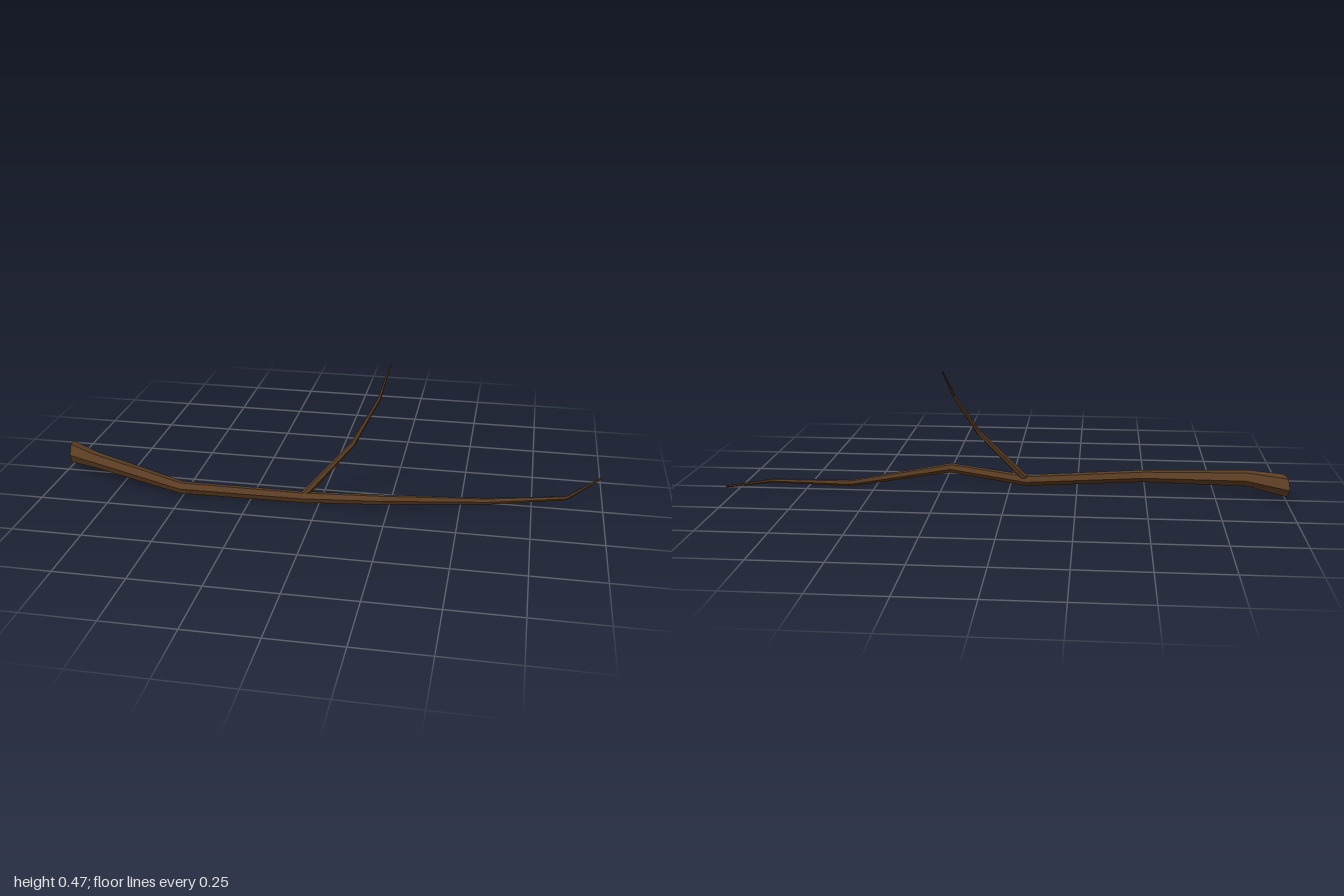
import * as THREE from 'three';

const SIDES = 6;

// Faceted limb: one hexagonal ring per [x, y, z, radius, sideStretch], tilted along the path
function limb(name, rows, material, startNormal, up) {
  const points = rows.map(([x, y, z]) => new THREE.Vector3(x, y, z));
  const rings = rows.map(([, , , r, stretch = 1], i) => {
    const dirs = [];
    if (i > 0) dirs.push(points[i].clone().sub(points[i - 1]).normalize());
    if (i < points.length - 1) dirs.push(points[i + 1].clone().sub(points[i]).normalize());
    const n = dirs.reduce((a, d) => a.add(d), new THREE.Vector3()).normalize();
    if (i === 0 && startNormal) n.copy(startNormal).normalize();
    const side = new THREE.Vector3().crossVectors(n, up).normalize();
    const top = new THREE.Vector3().crossVectors(side, n);
    return Array.from({ length: SIDES }, (_, k) => {
      const a = (k / SIDES) * Math.PI * 2 + 0.12;
      return points[i].clone()
        .addScaledVector(side, Math.cos(a) * r * stretch)
        .addScaledVector(top, Math.sin(a) * r);
    });
  });

  const verts = [];
  const tri = (...corners) => corners.forEach((v) => verts.push(v.x, v.y, v.z));
  const last = rings.length - 1;
  for (let k = 0; k < SIDES; k++) {
    const m = (k + 1) % SIDES;
    for (let i = 0; i < last; i++) {
      const a = rings[i], b = rings[i + 1];
      tri(a[k], a[m], b[m]);
      tri(a[k], b[m], b[k]);
    }
    // End caps
    tri(points[0], rings[0][m], rings[0][k]);
    tri(points[last], rings[last][k], rings[last][m]);
  }
  const geometry = new THREE.BufferGeometry();
  geometry.setAttribute('position', new THREE.Float32BufferAttribute(verts, 3));
  geometry.computeVertexNormals();
  const mesh = new THREE.Mesh(geometry, material);
  mesh.name = name;
  return mesh;
}

export function createModel() {
  const group = new THREE.Group();
  group.name = 'branch';
  const bark = new THREE.MeshStandardMaterial({ color: 0x5a3c22, flatShading: true, side: THREE.DoubleSide });

  // Long crooked stem, flared at the broken end
  group.add(limb('mainStem', [
    [-0.99, 0.069, -0.028, 0.04, 1.28],
    [-0.87, 0.073, 0.04, 0.03],
    [-0.5, 0.041, 0.148, 0.023],
    [-0.06, 0.024, 0.112, 0.021],
    [0.23, 0.056, 0.147, 0.018],
    [0.59, 0.023, 0.024, 0.012],
    [0.87, 0.039, -0.02, 0.007],
    [0.996, 0.058, -0.17, 0.004],
  ], bark, new THREE.Vector3(1, 0, -0.2), new THREE.Vector3(0, 1, 0)));

  // Thin twig rising from the middle of the stem
  group.add(limb('sideTwig', [
    [-0.06, 0.028, 0.112, 0.014],
    [0.11, 0.218, 0.053, 0.0095],
    [0.193, 0.371, -0.016, 0.006],
    [0.221, 0.476, -0.103, 0.0025],
  ], bark, null, new THREE.Vector3(0, 0, 1)));

  return group;
}
